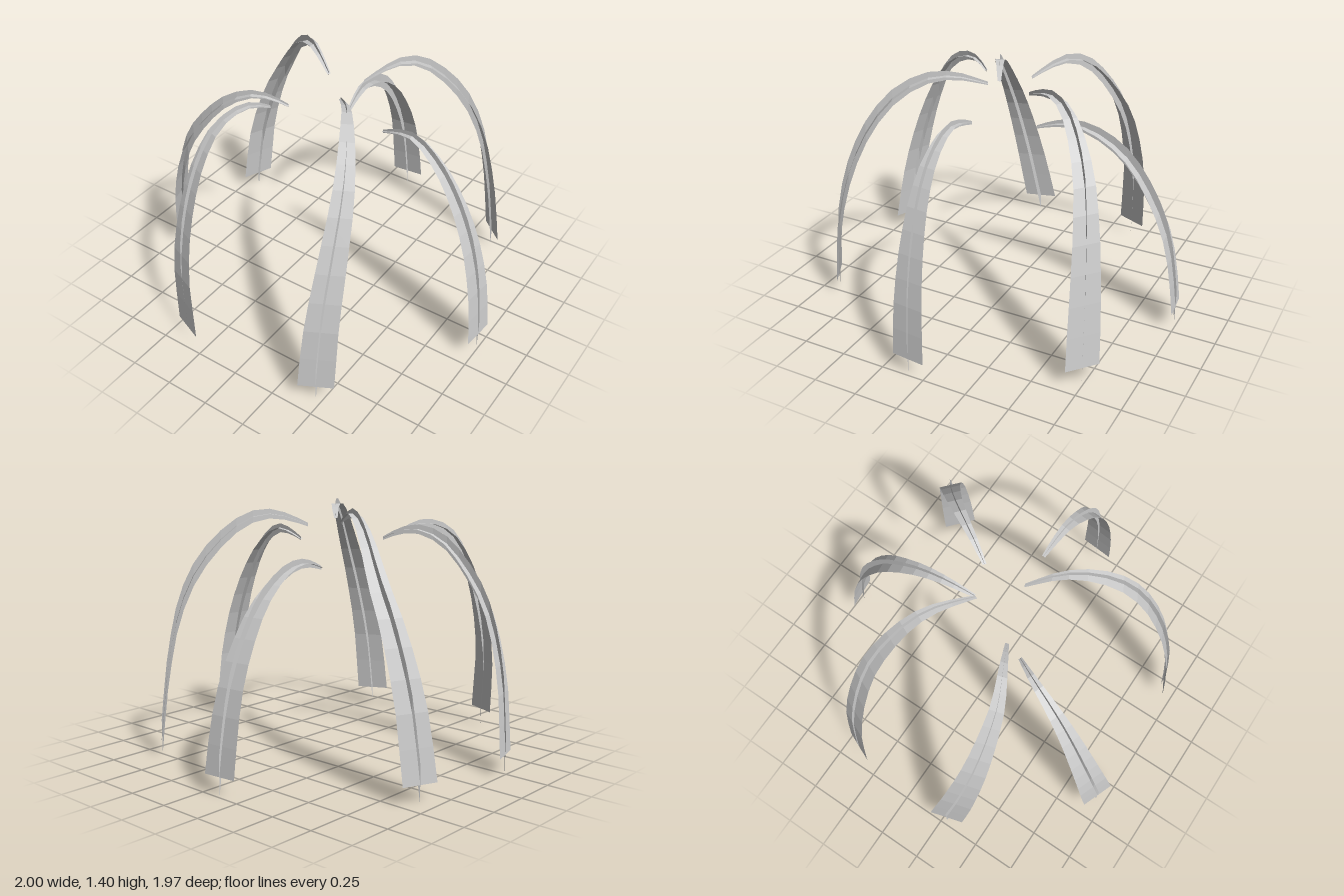
import * as THREE from 'three';

// Centre lines of the seven arching blades, from base to tip
const BLADES = {
  backBlade: [[-0.105, 0.1, -0.98], [-0.108, 0.39, -0.935], [-0.105, 0.62, -0.865], [-0.096, 0.89, -0.71],
    [-0.09, 1.0, -0.6], [-0.075, 1.08, -0.46], [-0.062, 1.105, -0.34], [-0.047, 1.093, -0.24], [-0.03, 1.06, -0.14]],
  backLeftBlade: [[0.645, 0.1, -0.74], [0.595, 0.5, -0.72], [0.52, 0.86, -0.68], [0.42, 1.1, -0.61],
    [0.28, 1.3, -0.47], [0.2, 1.355, -0.36], [0.135, 1.34, -0.25], [0.07, 1.29, -0.14]],
  leftBlade: [[0.99, 0.1, 0.095], [0.96, 0.41, 0.098], [0.89, 0.72, 0.102], [0.785, 0.97, 0.105],
    [0.67, 1.13, 0.1], [0.53, 1.225, 0.085], [0.43, 1.22, 0.075], [0.32, 1.18, 0.065]],
  frontLeftBlade: [[0.467, 0.1, 0.905], [0.475, 0.5, 0.855], [0.47, 0.85, 0.75], [0.435, 1.13, 0.61],
    [0.37, 1.29, 0.48], [0.28, 1.37, 0.34], [0.2, 1.37, 0.23], [0.08, 1.31, 0.1]],
  frontRightBlade: [[-0.37, 0.1, 0.947], [-0.415, 0.5, 0.893], [-0.42, 0.85, 0.79], [-0.4, 1.1, 0.67],
    [-0.37, 1.23, 0.56], [-0.32, 1.285, 0.43], [-0.285, 1.28, 0.36], [-0.24, 1.245, 0.285]],
  rightBlade: [[-0.975, 0.1, 0.277], [-0.9, 0.51, 0.335], [-0.775, 0.86, 0.365], [-0.635, 1.07, 0.355],
    [-0.5, 1.21, 0.325], [-0.38, 1.265, 0.27], [-0.29, 1.255, 0.225], [-0.2, 1.21, 0.18]],
  backRightBlade: [[-0.92, 0.1, -0.4], [-0.865, 0.5, -0.415], [-0.745, 0.85, -0.405], [-0.635, 1.05, -0.38],
    [-0.48, 1.27, -0.3], [-0.4, 1.34, -0.255], [-0.32, 1.375, -0.205], [-0.22, 1.36, -0.14], [-0.11, 1.31, -0.07]],
};
const SEGMENTS = 14;
const UP = new THREE.Vector3(0, 1, 0);

// Tapering open strip along a curve, widened both ways in one fixed direction
function strip(curve, dir) {
  const positions = [], index = [];
  for (let i = 0; i <= SEGMENTS; i++) {
    const s = i / SEGMENTS;
    const t = s * (1.5 - 0.5 * s); // shorter steps towards the bent tip
    const center = curve.getPointAt(t);
    const half = 0.01 + 0.087 * (1 - t ** 1.5);
    for (const sign of [-1, 1]) positions.push(...center.clone().addScaledVector(dir, sign * half).toArray());
    if (i) {
      const a = 2 * i - 2;
      index.push(a, a + 1, a + 2, a + 1, a + 3, a + 2);
    }
  }
  const geometry = new THREE.BufferGeometry();
  geometry.setAttribute('position', new THREE.Float32BufferAttribute(positions, 3));
  geometry.setIndex(index);
  geometry.computeVertexNormals();
  return geometry;
}

// Each blade is two crossed strips on one centre line: a level one and an upright one
function makeBlade(name, points, material) {
  const curve = new THREE.CatmullRomCurve3(points.map(p => new THREE.Vector3(...p)), false, 'centripetal');
  const [x, , z] = points[0];
  const side = new THREE.Vector3(z, 0, -x).normalize();
  const blade = new THREE.Group();
  blade.name = name;
  for (const [part, dir] of [['levelLeaf', side], ['uprightLeaf', UP]]) {
    const mesh = new THREE.Mesh(strip(curve, dir), material);
    mesh.name = part;
    blade.add(mesh);
  }
  return blade;
}

export function createModel() {
  const material = new THREE.MeshStandardMaterial({ color: 0xcccccc, flatShading: true, side: THREE.DoubleSide });
  const model = new THREE.Group();
  model.name = 'archingBlades';
  for (const [name, points] of Object.entries(BLADES)) model.add(makeBlade(name, points, material));
  return model;
}
